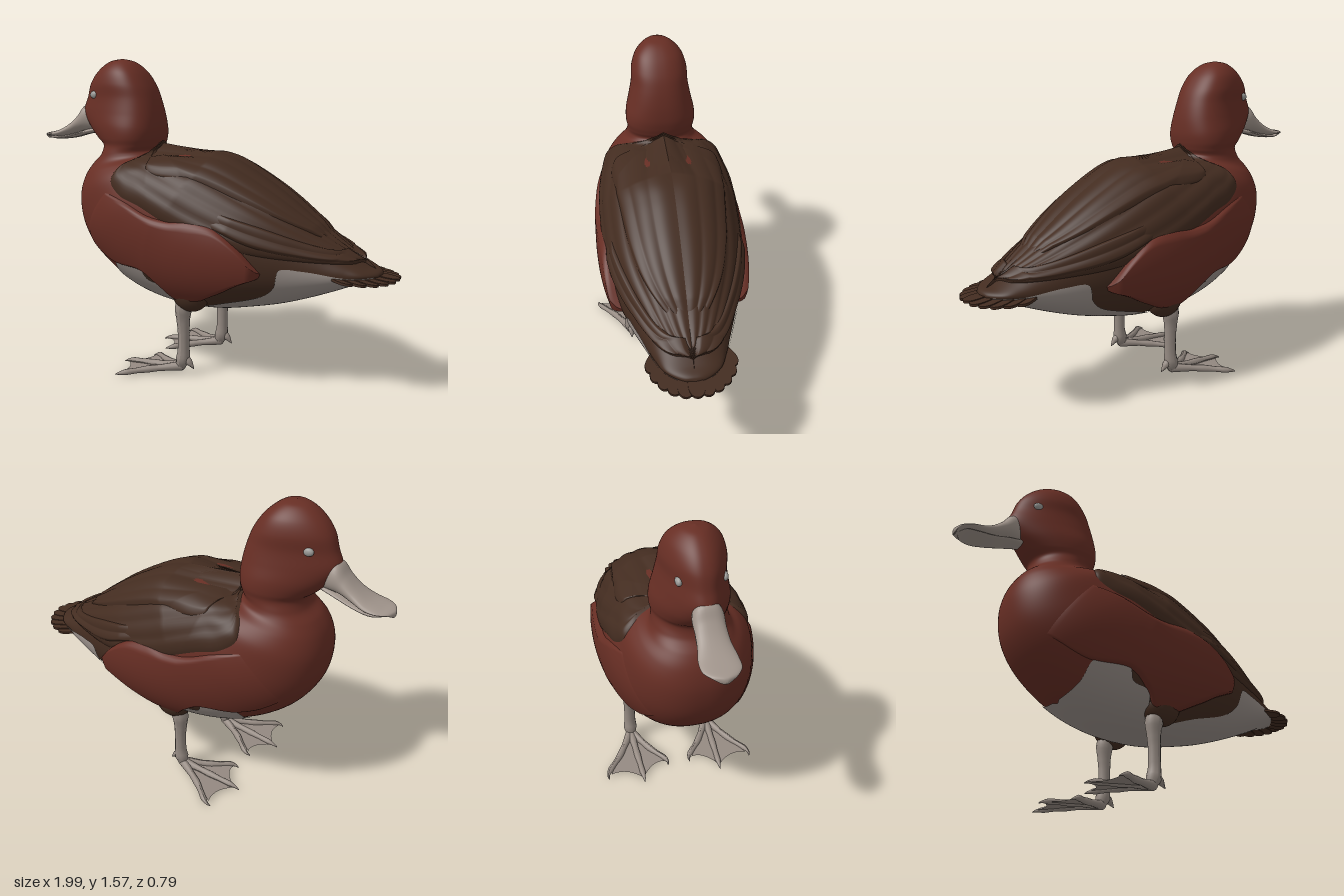
import * as THREE from 'three';

const paint = (name, color, side = THREE.FrontSide) => {
  const m = new THREE.MeshStandardMaterial({ color, side });
  m.name = name;
  return m;
};
const V = (p) => new THREE.Vector3(p[0], p[1], p[2] || 0);

// A loft through sections [ax, ay, bx, by, halfWidth, egg]: each ring spans
// outline point A to outline point B in side view; egg narrows the A end.
function makeSurface(sections, power = 1) {
  const a = new THREE.CatmullRomCurve3(sections.map((s) => V([s[0], s[1], s[4]])));
  const b = new THREE.CatmullRomCurve3(sections.map((s) => V([s[2], s[3], s[5] || 0])));
  const ring = (t) => {
    const A = a.getPoint(t), B = b.getPoint(t);
    return { mx: (A.x + B.x) / 2, my: (A.y + B.y) / 2, hx: (A.x - B.x) / 2, hy: (A.y - B.y) / 2, w: Math.max(A.z, 0), k: B.z };
  };
  const point = (t, th, off = 0) => {
    const r = ring(t), c = Math.cos(th), s = Math.sin(th);
    const z = r.w * Math.sign(s) * Math.pow(Math.abs(s), power) * (1 - r.k * c);
    const d = new THREE.Vector3(r.hx * c, r.hy * c, z);
    d.multiplyScalar(1 + off / Math.max(d.length(), 0.02));
    return d.add(new THREE.Vector3(r.mx, r.my, 0));
  };
  // Surface coordinates (t, angle) of a side-view position
  const locate = (x, y) => {
    let lo = 0.1, hi = 0.97;
    for (let i = 0; i < 40; i++) {
      const t = (lo + hi) / 2, r = ring(t);
      if (-r.hx * (y - r.my) + r.hy * (x - r.mx) < 0) lo = t; else hi = t;
    }
    const r = ring(lo);
    const c = ((x - r.mx) * r.hx + (y - r.my) * r.hy) / (r.hx * r.hx + r.hy * r.hy);
    return [lo, Math.acos(THREE.MathUtils.clamp(c, -1, 1))];
  };
  return { point, locate };
}

// Grid of quads from a point function; wrap closes it round
function gridGeometry(nu, nv, wrap, fn) {
  const pos = [], idx = [], cols = wrap ? nv : nv + 1;
  for (let i = 0; i <= nu; i++) for (let j = 0; j < cols; j++) pos.push(...fn(i / nu, j / nv).toArray());
  for (let i = 0; i < nu; i++) for (let j = 0; j < nv; j++) {
    const p = i * cols + j, q = i * cols + ((j + 1) % cols);
    idx.push(p, p + cols, q + cols, p, q + cols, q);
  }
  const g = new THREE.BufferGeometry();
  g.setAttribute('position', new THREE.Float32BufferAttribute(pos, 3));
  g.setIndex(idx);
  g.computeVertexNormals();
  return g;
}
const loft = (surf, t0, t1, nu, nv) =>
  gridGeometry(nu, nv, true, (u, v) => surf.point(t0 + (t1 - t0) * u, v * Math.PI * 2));

// Tube whose radius follows a list of values
function taperedTube(points, radii, n = 24) {
  const path = new THREE.CatmullRomCurve3(points.map(V));
  const g = new THREE.TubeGeometry(path, n, 1, 12), p = g.attributes.position, v = new THREE.Vector3();
  for (let i = 0; i < p.count; i++) {
    const t = Math.floor(i / 13) / n, f = t * (radii.length - 1), k = Math.min(Math.floor(f), radii.length - 2);
    const c = path.getPointAt(t), r = THREE.MathUtils.lerp(radii[k], radii[k + 1], f - k);
    v.fromBufferAttribute(p, i).sub(c).multiplyScalar(r).add(c);
    p.setXYZ(i, v.x, v.y, v.z);
  }
  g.computeVertexNormals();
  return g;
}

// Head crown, neck, breast and body down to the tail
const BODY = [
  [-0.5, 1.575, -0.5, 1.575, 0, 0.2], [-0.57, 1.56, -0.44, 1.56, 0.06, 0.2], [-0.64, 1.51, -0.375, 1.51, 0.112, 0.25],
  [-0.685, 1.45, -0.325, 1.44, 0.135, 0.25], [-0.71, 1.38, -0.295, 1.37, 0.138, 0.3], [-0.735, 1.31, -0.275, 1.29, 0.15, 0.35],
  [-0.7, 1.24, -0.268, 1.22, 0.168, 0.3], [-0.635, 1.17, -0.272, 1.17, 0.174, 0.2], [-0.59, 1.13, -0.28, 1.135, 0.17, 0.1],
  [-0.6, 1.08, -0.285, 1.105, 0.175], [-0.65, 1.03, -0.26, 1.09, 0.19], [-0.69, 0.96, -0.2, 1.095, 0.235],
  [-0.71, 0.86, -0.13, 1.1, 0.28], [-0.69, 0.72, -0.05, 1.105, 0.31], [-0.62, 0.6, 0.03, 1.1, 0.335],
  [-0.5, 0.49, 0.12, 1.08, 0.348], [-0.35, 0.405, 0.2, 1.045, 0.35], [-0.18, 0.355, 0.29, 0.995, 0.347],
  [0, 0.337, 0.38, 0.94, 0.335], [0.15, 0.343, 0.46, 0.885, 0.313], [0.3, 0.37, 0.54, 0.825, 0.28],
  [0.45, 0.405, 0.62, 0.765, 0.24], [0.6, 0.455, 0.7, 0.71, 0.2], [0.75, 0.515, 0.78, 0.66, 0.16],
  [0.85, 0.56, 0.85, 0.62, 0.12], [0.9, 0.57, 0.9, 0.6, 0.05], [0.91, 0.585, 0.91, 0.585, 0],
];

export function createModel() {
  const red = paint('chestnut', 0x672e24), brown = paint('dark brown', 0x432c20);
  const pale = paint('pale belly', 0x9b918b), horn = paint('bill grey', 0xa1958c);
  const skin = paint('leg grey', 0x958a82, THREE.DoubleSide), eyeGrey = paint('eye grey', 0x9a9a97);
  const model = new THREE.Group();
  const add = (name, geometry, material, parent = model) => {
    const m = new THREE.Mesh(geometry, material);
    m.name = name;
    parent.add(m);
    return m;
  };

  const body = makeSurface(BODY, 0.85), split = 16 / (BODY.length - 1);
  add('headNeckAndBreast', loft(body, 0, split, 120, 96), red);
  add('rearBody', loft(body, split, 1, 70, 96), brown);

  // Plumage panel lying on the body between a low and a high edge, on both sides
  const panel = (name, material, low, high, lift) => {
    const edge = (pts) => {
      const c = new THREE.CatmullRomCurve3(pts.map(V));
      return (u) => { const p = c.getPoint(u); return body.locate(p.x, p.y); };
    };
    const lo = edge(low), hi = edge(high);
    const g = gridGeometry(80, 40, false, (u, v) => {
      const a = lo(u), b = hi(u);
      return body.point(a[0] + (b[0] - a[0]) * v, a[1] + (b[1] - a[1]) * v, lift(u, v));
    });
    add(name + 'Left', g, material);
    add(name + 'Right', g, material).scale.z = -1;
  };
  const rim = (h, ...d) => -0.004 + (h + 0.004) * Math.sqrt(Math.max(0, Math.min(1, ...d)));
  const ridges = (n, v) => 0.006 * Math.abs(Math.sin(n * Math.PI * v));

  // Pale belly, before and behind the legs
  panel('frontBelly', pale,
    [[-0.44, 0.4], [-0.3, 0.34], [-0.15, 0.32], [0, 0.31]],
    [[-0.42, 0.44], [-0.4, 0.48], [-0.38, 0.56], [-0.29, 0.57], [-0.21, 0.55], [-0.18, 0.5], [-0.09, 0.47], [-0.05, 0.39], [0, 0.352]],
    () => 0.006);
  panel('rearBelly', pale,
    [[0, 0.31], [0.2, 0.32], [0.4, 0.36], [0.65, 0.45], [0.9, 0.55]],
    [[0, 0.352], [0.07, 0.37], [0.2, 0.41], [0.42, 0.48], [0.48, 0.54], [0.5, 0.61], [0.6, 0.61], [0.78, 0.585], [0.89, 0.585]],
    () => 0.006);

  // Folded wings with layered feathers
  panel('wing', brown,
    [[-0.31, 1.09], [-0.38, 1.03], [-0.39, 0.96], [-0.32, 0.9], [-0.2, 0.86], [0, 0.77], [0.2, 0.71], [0.4, 0.67], [0.6, 0.65], [0.78, 0.64], [0.87, 0.635]],
    [[-0.28, 1.13], [-0.25, 1.14], [-0.2, 1.15], [-0.1, 1.16], [0, 1.16], [0.15, 1.13], [0.3, 1.05], [0.45, 0.95], [0.6, 0.84], [0.75, 0.74], [0.88, 0.65]],
    (u, v) => rim(0.013 + ridges(6, v), 8 * v, 12 * u, 12 * (1 - u)));
  panel('scapulars', brown,
    [[-0.22, 1.06], [-0.2, 1.02], [0.05, 0.98], [0.3, 0.89], [0.5, 0.8], [0.68, 0.72]],
    [[-0.2, 1.15], [-0.1, 1.16], [0.1, 1.14], [0.35, 1.02], [0.55, 0.88], [0.7, 0.77]],
    (u, v) => rim(0.023 + ridges(3, v), 8 * v, 6 * u, 10 * (1 - u)));
  panel('flightFeathers', brown,
    [[0.15, 0.8], [0.35, 0.71], [0.6, 0.66], [0.86, 0.635]],
    [[0.15, 0.87], [0.4, 0.8], [0.62, 0.72], [0.88, 0.64]],
    (u, v) => rim(0.022 + ridges(2, v), 6 * v, 6 * (1 - v), 6 * u, 12 * (1 - u)));

  // Flank feathers overlapping the wings, standing off at the rear
  panel('flank', red,
    [[-0.6, 0.66], [-0.4, 0.56], [-0.2, 0.54], [-0.1, 0.47], [0, 0.39], [0.2, 0.465], [0.3, 0.52], [0.41, 0.57]],
    [[-0.42, 0.92], [-0.28, 0.88], [-0.14, 0.825], [-0.03, 0.81], [0.08, 0.82], [0.2, 0.79], [0.31, 0.71], [0.42, 0.59]],
    (u, v) => rim(0.024 + 0.02 * u * u, 10 * v, 10 * (1 - v), 3 * u, 20 * (1 - u)));

  // Fanned tail feathers
  const tail = new THREE.Group();
  tail.name = 'tail';
  tail.position.set(0.45, 0.635, 0);
  tail.rotation.z = -0.11;
  model.add(tail);
  for (let i = -5; i <= 5; i++) {
    const a = i / 5, len = 0.55 - 0.12 * a * a;
    const s = new THREE.Shape();
    s.moveTo(0.05, -0.015);
    s.lineTo(len - 0.06, -0.036);
    s.bezierCurveTo(len + 0.012, -0.036, len + 0.012, 0.036, len - 0.06, 0.036);
    s.lineTo(0.05, 0.015);
    const g = new THREE.ExtrudeGeometry(s, { depth: 0.012, bevelEnabled: false, curveSegments: 8 }).rotateX(Math.PI / 2);
    const f = add('tailFeather', g, brown, tail);
    f.rotation.y = -a * 0.47;
    f.position.y = -0.004 * Math.abs(i);
  }

  // Bill: upper and lower halves
  const bill = new THREE.Group();
  bill.name = 'bill';
  model.add(bill);
  add('upperBill', loft(makeSurface([
    [-0.66, 1.34, -0.66, 1.2, 0.05], [-0.725, 1.338, -0.71, 1.2, 0.066], [-0.77, 1.285, -0.76, 1.195, 0.066],
    [-0.82, 1.24, -0.82, 1.175, 0.07], [-0.88, 1.205, -0.88, 1.162, 0.082], [-0.94, 1.188, -0.94, 1.163, 0.08],
    [-0.98, 1.182, -0.98, 1.16, 0.05], [-0.995, 1.175, -0.993, 1.148, 0.02], [-1, 1.16, -1, 1.16, 0],
  ], 0.8), 0, 1, 48, 32), horn, bill);
  add('lowerBill', loft(makeSurface([
    [-0.66, 1.22, -0.66, 1.19, 0.04], [-0.74, 1.2, -0.74, 1.175, 0.055], [-0.82, 1.178, -0.82, 1.155, 0.062],
    [-0.9, 1.165, -0.9, 1.148, 0.07], [-0.95, 1.165, -0.95, 1.154, 0.055], [-0.975, 1.163, -0.975, 1.163, 0],
  ], 0.8), 0, 1, 32, 24), horn, bill);

  for (const side of [1, -1]) {
    // Eyes
    const at = body.point(...body.locate(-0.615, 1.39));
    const eye = add('eye', new THREE.SphereGeometry(0.025, 20, 14), eyeGrey);
    eye.position.set(at.x, at.y, side * (at.z - 0.003));
    eye.scale.set(1.05, 0.8, 0.6);

    // Leg with webbed foot
    const leg = new THREE.Group();
    leg.name = side > 0 ? 'leftLeg' : 'rightLeg';
    leg.scale.z = side;
    model.add(leg);
    const thigh = add('thigh', new THREE.SphereGeometry(1, 24, 16), brown, leg);
    thigh.position.set(0.02, 0.435, 0.21);
    thigh.scale.set(0.1, 0.095, 0.075);
    add('shank', taperedTube([[-0.01, 0.45, 0.215], [-0.022, 0.33, 0.215], [-0.02, 0.2, 0.215], [-0.025, 0.09, 0.215], [-0.045, 0.035, 0.215]],
      [0.03, 0.038, 0.043, 0.034, 0.03, 0.029, 0.03, 0.036, 0.022]), skin, leg);
    const tips = [[-0.32, 0.385], [-0.38, 0.205], [-0.29, 0.06]];
    for (const [x, z] of tips) {
      const mx = (x - 0.04) / 2, mz = (z + 0.215) / 2;
      add('toe', taperedTube([[-0.03, 0.05, 0.215], [mx, 0.034, mz], [x + 0.025, 0.02, z], [x, 0.01, z]],
        [0.024, 0.02, 0.016, 0.018, 0.014, 0.015, 0.002], 18), skin, leg);
    }
    add('hindToe', taperedTube([[-0.02, 0.1, 0.215], [0.01, 0.075, 0.215], [0.037, 0.045, 0.215]], [0.022, 0.018, 0.002], 10), skin, leg);
    const web = new THREE.Shape();
    web.moveTo(-0.04, 0.215);
    web.lineTo(-0.3, 0.37);
    web.quadraticCurveTo(-0.27, 0.285, -0.355, 0.207);
    web.quadraticCurveTo(-0.25, 0.14, -0.27, 0.075);
    web.closePath();
    const wg = new THREE.ShapeGeometry(web, 12).rotateX(Math.PI / 2), wp = wg.attributes.position;
    for (let i = 0; i < wp.count; i++) wp.setY(i, 0.016 + 0.08 * (wp.getX(i) + 0.36));
    wg.computeVertexNormals();
    add('web', wg, skin, leg);
  }
  return model;
}
